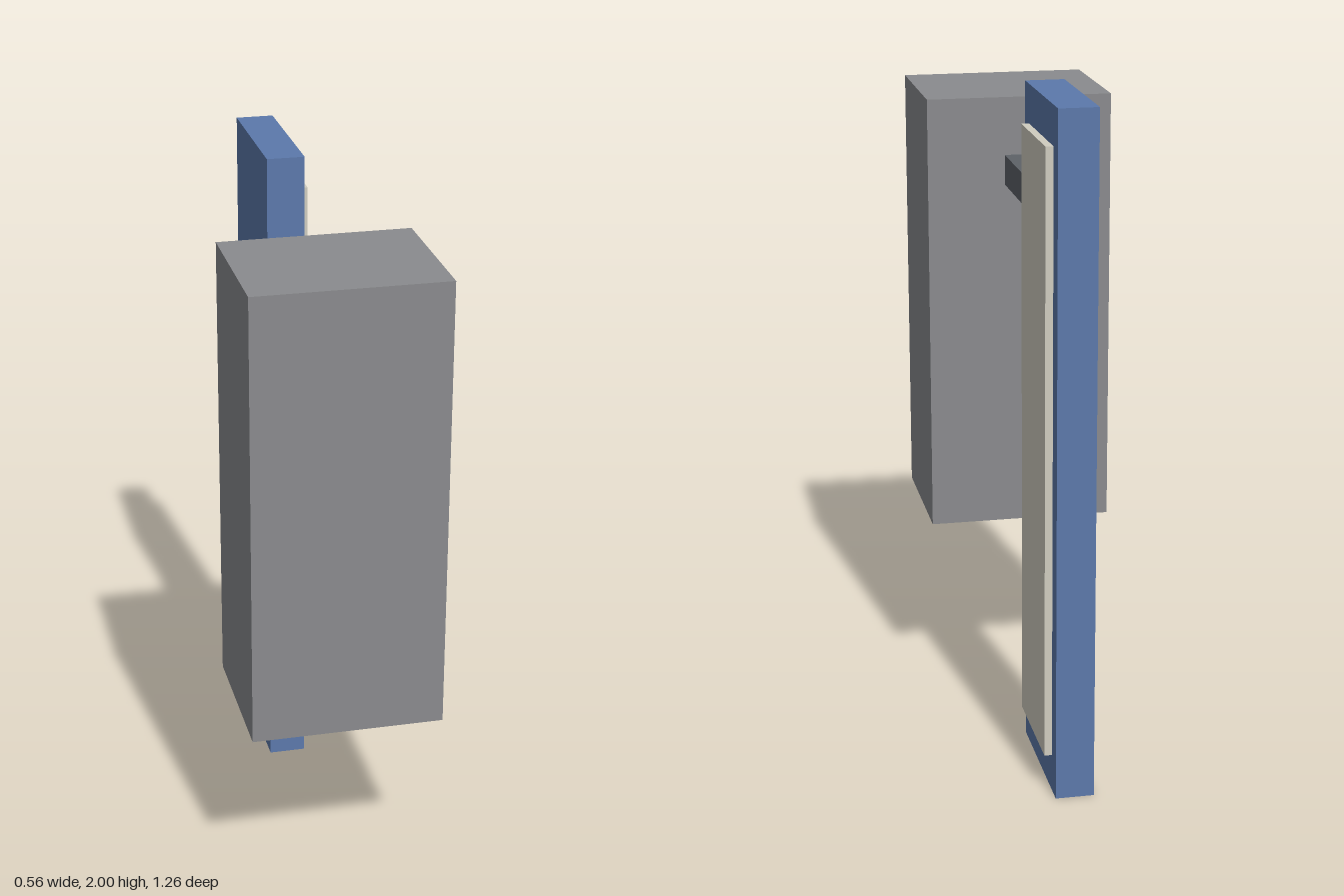
import * as THREE from 'three';

// Box given by its min and max corners
function block(name, color, min, max) {
  const size = max.map((v, i) => v - min[i]);
  const mesh = new THREE.Mesh(
    new THREE.BoxGeometry(...size),
    new THREE.MeshStandardMaterial({ color })
  );
  mesh.position.set(...max.map((v, i) => (v + min[i]) / 2));
  mesh.name = name;
  return mesh;
}

export function createModel() {
  const group = new THREE.Group();
  group.name = 'wallSign';
  group.add(
    // Supporting pillar at the front
    block('pillar', 0x8a8b8e, [-0.278, 0.556, 0.185], [0.278, 1.889, 0.63]),
    // Bracket joining the pillar and the sign
    block('bracketArm', 0x5e6268, [-0.045, 1.625, -0.185], [0.045, 1.715, 0.185]),
    // Tall sign board, edge-on to the front
    block('signBoard', 0x5c79ab, [-0.056, 0, -0.63], [0.056, 2, -0.185]),
    // Raised pale panel on the left side of the board
    block('signPanel', 0xd0cdc0, [0.056, 0.111, -0.574], [0.078, 1.889, -0.241])
  );
  return group;
}
